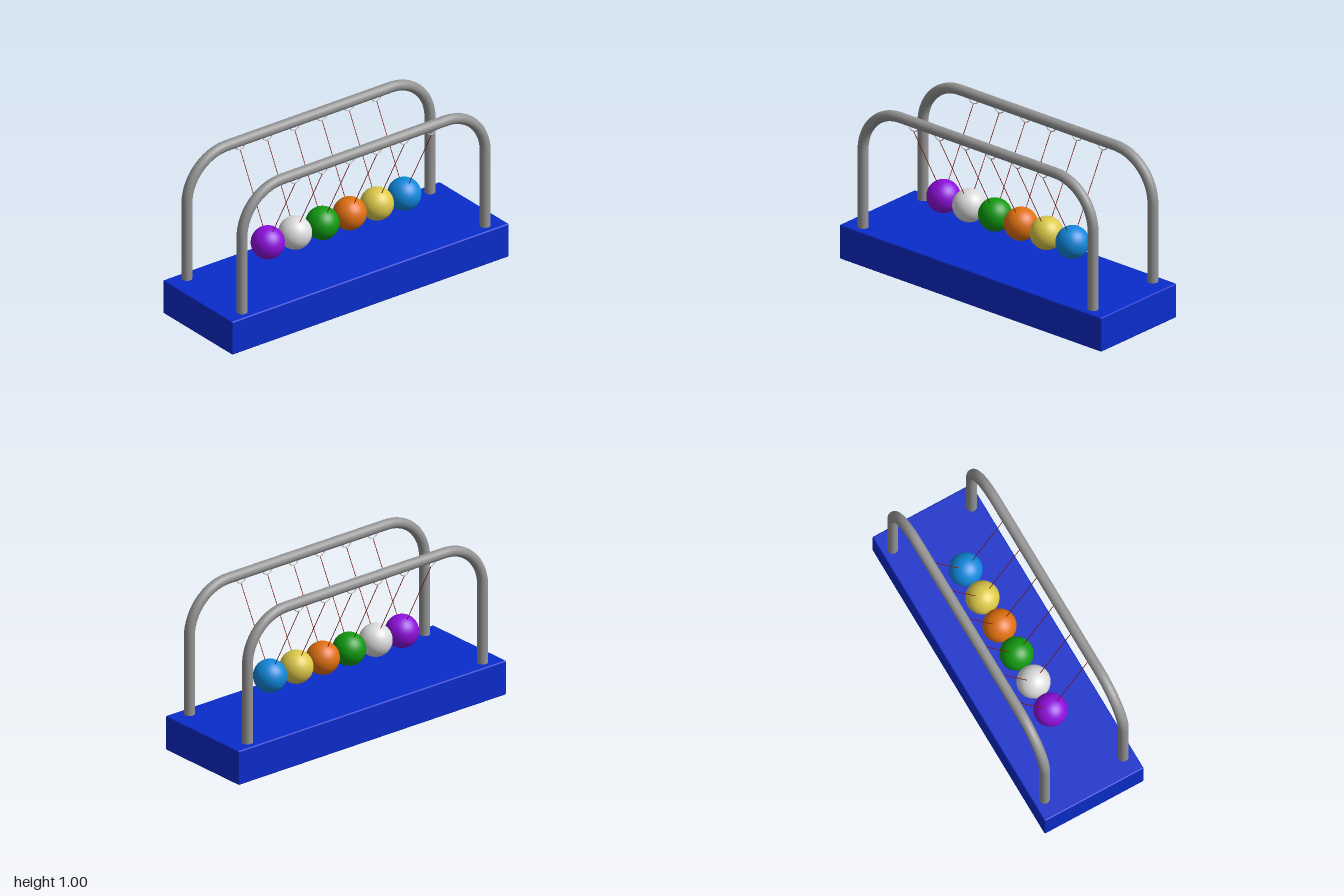
import * as THREE from 'three';
import { RoundedBoxGeometry } from 'three/addons/geometries/RoundedBoxGeometry.js';

const mat = (name, color) => {
  const m = new THREE.MeshStandardMaterial({ color });
  m.name = name;
  return m;
};

const BASE_H = 0.21, BAR_X = 0.861, BAR_Z = 0.255, BAR_Y = 0.964, BAR_R = 0.031, BEND = 0.28;
const BALL_R = 0.0966, BALL_Y = 0.425, HOOK_Y = 0.945, HOOK_R = 0.036;

// Upright, rounded corner, top bar, rounded corner, upright
function barPath() {
  const path = new THREE.CurvePath();
  const v = (x, y) => new THREE.Vector3(x, y, 0);
  const k = BEND * 0.5523; // quarter-circle handle length
  const low = BAR_Y - BEND, inner = BAR_X - BEND;
  path.add(new THREE.LineCurve3(v(-BAR_X, BASE_H - 0.02), v(-BAR_X, low)));
  path.add(new THREE.CubicBezierCurve3(v(-BAR_X, low), v(-BAR_X, low + k), v(-inner - k, BAR_Y), v(-inner, BAR_Y)));
  path.add(new THREE.LineCurve3(v(-inner, BAR_Y), v(inner, BAR_Y)));
  path.add(new THREE.CubicBezierCurve3(v(inner, BAR_Y), v(inner + k, BAR_Y), v(BAR_X, low + k), v(BAR_X, low)));
  path.add(new THREE.LineCurve3(v(BAR_X, low), v(BAR_X, BASE_H - 0.02)));
  return path;
}

export function createModel() {
  const model = new THREE.Group();
  model.name = 'swingingBalls';
  const toy = new THREE.Group();
  toy.name = 'turnedToy';
  toy.rotation.y = THREE.MathUtils.degToRad(32.6); // stands diagonally
  model.add(toy);

  const add = (name, geometry, material, x = 0, y = 0, z = 0) => {
    const mesh = new THREE.Mesh(geometry, material);
    mesh.name = name;
    mesh.position.set(x, y, z);
    toy.add(mesh);
    return mesh;
  };

  const steel = mat('grey steel', 0x959595);
  const hookMetal = mat('hook silver', 0xc4c4c4);
  const thread = mat('dark red thread', 0x8a1408);
  const ballMats = [
    mat('purple', 0x8f0fdc), mat('white', 0xdcdcdc), mat('green', 0x109a10),
    mat('orange', 0xe07010), mat('yellow', 0xdcc84a), mat('sky blue', 0x1088dc),
  ];

  // Base block
  add('base', new RoundedBoxGeometry(1.96, BASE_H, 0.642, 2, 0.008), mat('base blue', 0x0a2ccc), 0, BASE_H / 2, 0);

  // Two bent bars
  const barGeo = new THREE.TubeGeometry(barPath(), 120, BAR_R, 20);
  for (const s of [1, -1]) add(s > 0 ? 'frontBar' : 'backBar', barGeo, steel, 0, 0, s * BAR_Z);

  // Balls, each hung by two threads from ring hooks under the bars
  const ballGeo = new THREE.SphereGeometry(BALL_R, 40, 28);
  const hookGeo = new THREE.TorusGeometry(HOOK_R, 0.003, 8, 32);
  const top = new THREE.Vector3(0, HOOK_Y - HOOK_R, BAR_Z);
  const centre = new THREE.Vector3(0, BALL_Y, 0);
  const threadGeo = new THREE.CylinderGeometry(0.002, 0.002, top.distanceTo(centre), 8);
  const mid = top.clone().add(centre).multiplyScalar(0.5);
  const tilt = Math.atan2(BAR_Z, top.y - BALL_Y);

  ballMats.forEach((m, i) => {
    const x = (i - 2.5) * 2 * BALL_R;
    add('ball', ballGeo, m, x, BALL_Y, 0);
    for (const s of [1, -1]) {
      add('hook', hookGeo, hookMetal, x, HOOK_Y, s * BAR_Z);
      add('thread', threadGeo, thread, x, mid.y, s * mid.z).rotation.x = s * tilt;
    }
  });

  return model;
}
